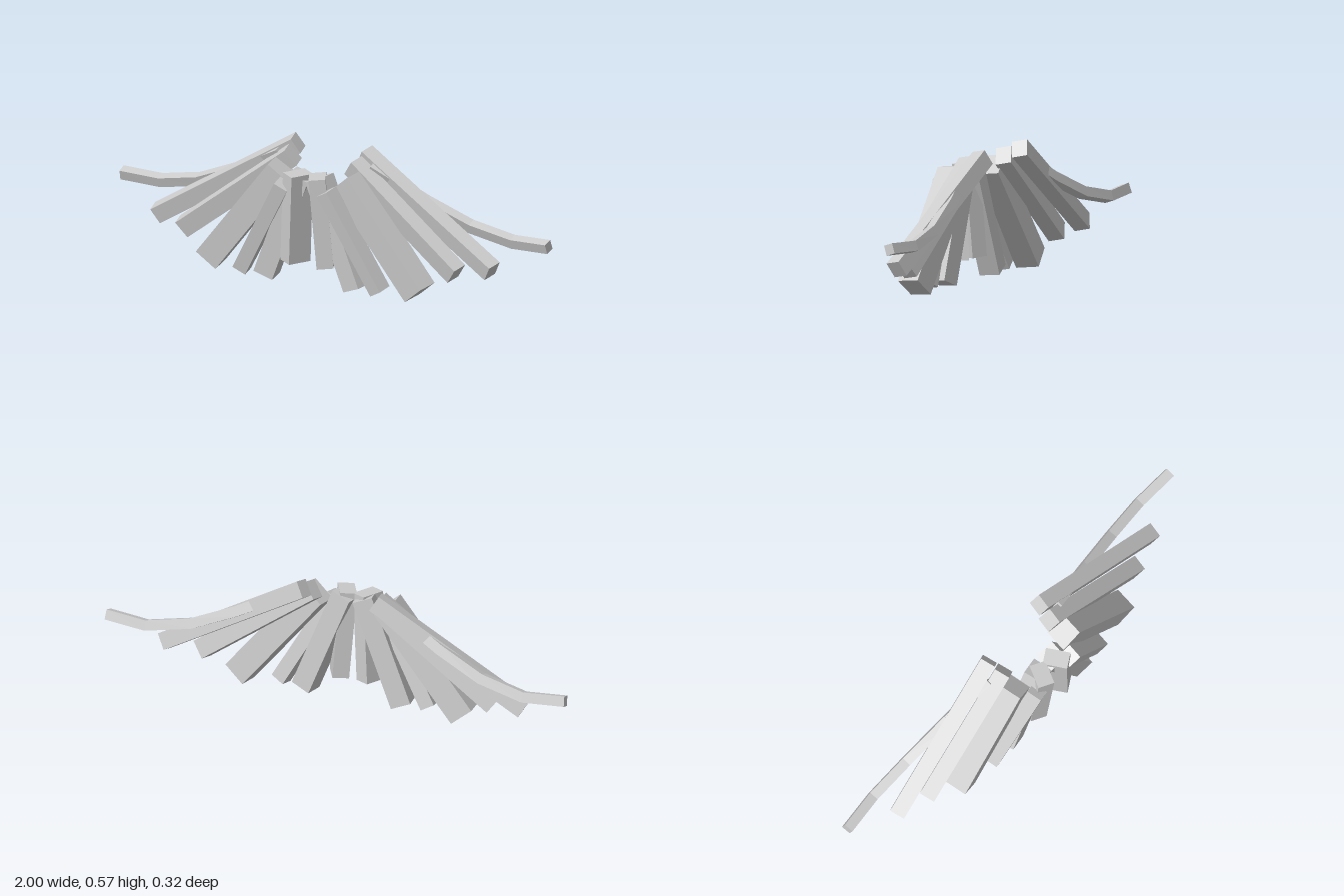
import * as THREE from 'three';

const material = new THREE.MeshStandardMaterial({ color: 0xcccccc, flatShading: true, side: THREE.DoubleSide });

// Rectangular bar swept along points; roll turns the section about the path.
function bar(name, points, width, depth, roll, side) {
  const pts = points.map(([x, y, z]) => new THREE.Vector3(x * side, y, z));
  const pos = [], index = [];
  pts.forEach((p, i) => {
    const d = pts[Math.min(i + 1, pts.length - 1)].clone().sub(pts[Math.max(i - 1, 0)]).normalize();
    const u = new THREE.Vector3(0, 0, 1).cross(d).normalize().applyAxisAngle(d, roll * side);
    const n = d.clone().cross(u);
    for (const [a, b] of [[1, 1], [-1, 1], [-1, -1], [1, -1]]) {
      const c = p.clone().addScaledVector(u, a * width / 2).addScaledVector(n, b * depth / 2);
      pos.push(c.x, c.y, c.z);
    }
    if (i === 0) return;
    for (let k = 0; k < 4; k++) {
      const a = (i - 1) * 4 + k, b = (i - 1) * 4 + (k + 1) % 4;
      index.push(a, b, b + 4, a, b + 4, a + 4);
    }
  });
  const e = (pts.length - 1) * 4;
  index.push(0, 3, 2, 0, 2, 1, e, e + 1, e + 2, e, e + 2, e + 3);
  const indexed = new THREE.BufferGeometry();
  indexed.setAttribute('position', new THREE.Float32BufferAttribute(pos, 3));
  indexed.setIndex(index);
  const geometry = indexed.toNonIndexed();
  geometry.computeVertexNormals();
  const mesh = new THREE.Mesh(geometry, material);
  mesh.name = name;
  return mesh;
}

// Fan of slats from the outside in: root, tip, width, depth, roll
const slats = [
  ['outerSlat', [0.155, 0.535, -0.095], [0.78, 0.157, -0.042], 0.07, 0.064, 0.28],
  ['upperSlat', [0.14, 0.505, -0.03], [0.635, 0.133, -0.005], 0.078, 0.066, 0.28],
  ['broadSlat', [0.15, 0.462, 0.037], [0.488, 0.043, 0.035], 0.105, 0.097, 0.16],
  ['thinSlat', [0.1, 0.425, 0.112], [0.322, 0.03, 0.067], 0.06, 0.065, 0.2],
  ['lowerSlat', [0.04, 0.462, 0.066], [0.212, 0.026, 0.058], 0.085, 0.085, 0.17],
  ['innerSlat', [0.045, 0.474, 0.09], [0.07, 0.1, 0.07], 0.068, 0.1, -0.5],
];

// Curved strand that sweeps out past the slats
const strand = [
  [0.21, 0.5, -0.055], [0.44, 0.38, -0.097], [0.63, 0.3, -0.125], [0.82, 0.261, -0.139], [0.995, 0.27, -0.125],
];

export function createModel() {
  const model = new THREE.Group();
  model.name = 'fan';
  for (const side of [1, -1]) {
    const wing = new THREE.Group();
    wing.name = side > 0 ? 'leftWing' : 'rightWing';
    for (const [name, root, tip, width, depth, roll] of slats) {
      wing.add(bar(name, [root, tip], width, depth, roll, side));
    }
    wing.add(bar('strand', strand, 0.042, 0.04, 0.32, side));
    model.add(wing);
  }
  // Slight overall lean
  model.rotation.set(0, 0.006, 0.003);
  return model;
}
